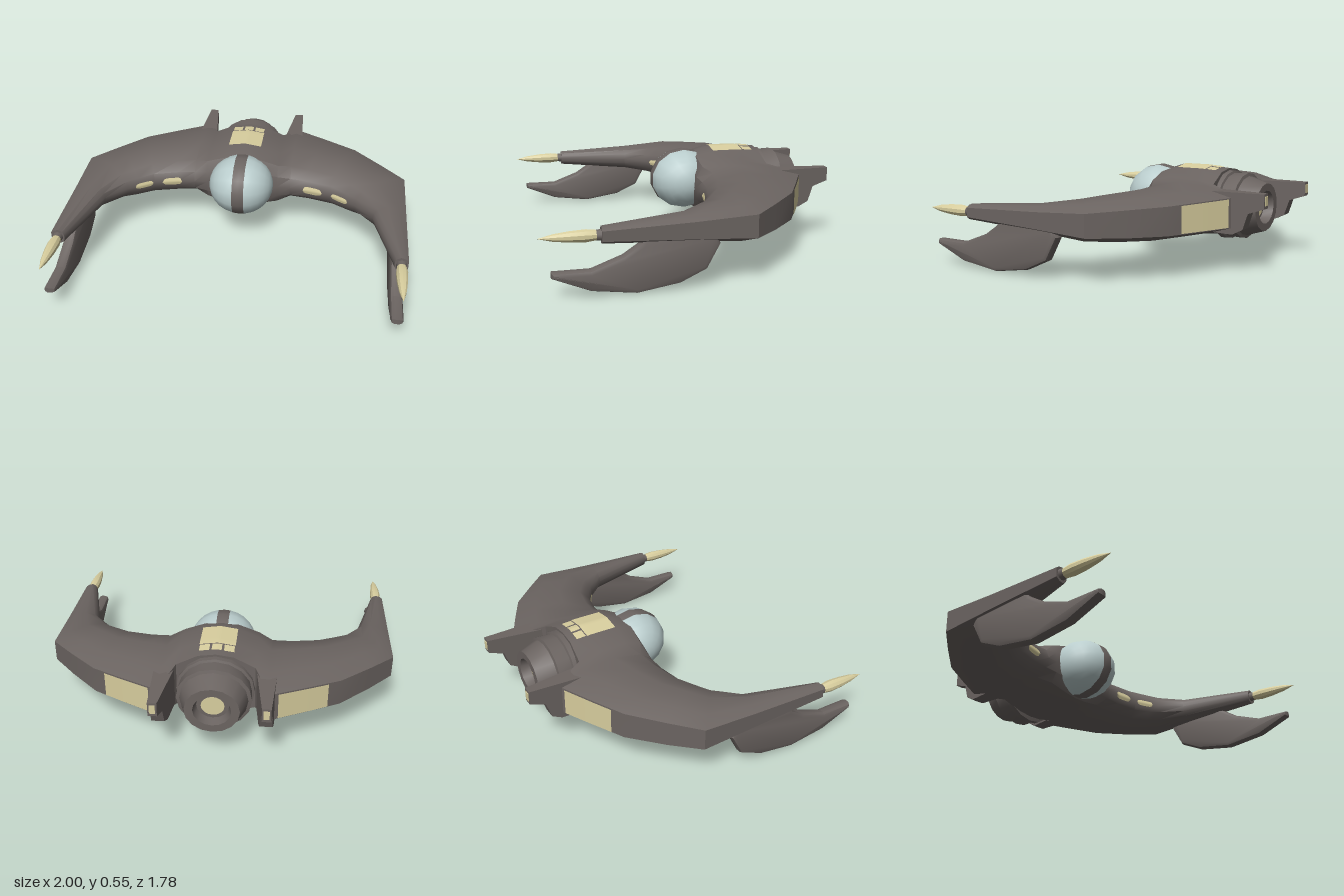
import * as THREE from 'three';
import { toCreasedNormals } from 'three/addons/utils/BufferGeometryUtils.js';

const hullMat = new THREE.MeshStandardMaterial({ name: 'hullGrey', color: 0x6b6461 });
const paleMat = new THREE.MeshStandardMaterial({ name: 'paleYellow', color: 0xd8ce9e });
const glassMat = new THREE.MeshStandardMaterial({ name: 'canopyBlue', color: 0xbacdcd });

// Hull stations from centre to wing tip:
// leading edge x, z | trailing edge x, z | top y, bottom y | boxiness
const STATIONS = [
  [0, -0.10, 0, -0.53, 0.54, 0.14, 1],
  [0.10, -0.10, 0.10, -0.53, 0.525, 0.15, 1],
  [0.22, -0.10, 0.22, -0.54, 0.485, 0.175, 0.7],
  [0.30, -0.10, 0.30, -0.72, 0.47, 0.185, 0],
  [0.40, -0.10, 0.50, -0.62, 0.46, 0.185, 0],
  [0.55, -0.07, 0.69, -0.52, 0.45, 0.185, 0],
  [0.64, -0.02, 0.86, -0.36, 0.435, 0.19, 0],
  [0.70, 0.02, 1.00, -0.22, 0.42, 0.205, 0],
  [0.81, 0.14, 1.00, 0.10, 0.39, 0.235, 0],
  [0.925, 0.575, 1.00, 0.575, 0.36, 0.27, 0],
];
// Upper half of the section, nose to tail, for wing and for centre body
const WING = [[0, 0], [0.03, 0.4], [0.14, 0.75], [0.42, 1], [0.75, 0.88], [1, 0.58]];
const BODY = [[0, 0], [0.01, 0.45], [0.08, 0.85], [0.3, 1], [0.7, 1], [1, 0.95]];
const LAST = STATIONS.length - 1;
const RING = 11;
const lerp = THREE.MathUtils.lerp;

function sectionPoint(k, boxy) {
  k = ((k % RING) + RING) % RING;
  const mirror = k > 5;
  const i = mirror ? RING - k : k;
  return [0, 1].map((c) =>
    lerp(WING[i][c], BODY[i][c], boxy) * (mirror && c === 1 ? -1 : 1));
}

// Point on the hull: s = signed station, k = place round the section
function hullPoint(s, k) {
  const a = Math.min(Math.abs(s), LAST);
  const i = Math.min(Math.floor(a), LAST - 1);
  const [fx, fz, bx, bz, top, bottom, boxy] = STATIONS[i].map((v, c) => lerp(v, STATIONS[i + 1][c], a - i));
  const k0 = Math.floor(k);
  const p = sectionPoint(k0, boxy), q = sectionPoint(k0 + 1, boxy);
  const u = lerp(p[0], q[0], k - k0), v = lerp(p[1], q[1], k - k0);
  return new THREE.Vector3(Math.sign(s) * lerp(fx, bx, u),
    (top + bottom) / 2 + v * (top - bottom) / 2, lerp(fz, bz, u));
}

// Grid surface from a function of column and row
function grid(cols, rows, fn) {
  const pos = [], index = [];
  for (let i = 0; i <= cols; i++)
    for (let j = 0; j <= rows; j++) pos.push(...fn(i, j).toArray());
  for (let i = 0; i < cols; i++)
    for (let j = 0; j < rows; j++) {
      const a = i * (rows + 1) + j, b = a + rows + 1;
      index.push(a, b, b + 1, a, b + 1, a + 1);
    }
  const g = new THREE.BufferGeometry();
  g.setAttribute('position', new THREE.Float32BufferAttribute(pos, 3));
  g.setIndex(index);
  return g;
}

// Painted patch lying just above the hull surface
function patch(s0, s1, k0, k1, oval = false) {
  const e = 0.01, n = 12;
  const g = grid(n, 6, (i, j) => {
    const s = lerp(s0, s1, i / n), t = (i / n) * 2 - 1;
    const h = oval ? Math.sqrt(1 - t ** 4) : 1;
    const k = (k0 + k1) / 2 + (j / 6 - 0.5) * (k1 - k0) * h;
    const ds = hullPoint(s + e, k).sub(hullPoint(s - e, k));
    const dk = hullPoint(s, k + e).sub(hullPoint(s, k - e));
    return hullPoint(s, k).addScaledVector(ds.cross(dk).normalize(), 0.005);
  });
  g.computeVertexNormals();
  return g;
}

// Side outline given as [z, y], extruded across x about x = 0
function sidePlate(points, width, bevel) {
  const shape = new THREE.Shape(points.map((p) => new THREE.Vector2(...p)));
  const depth = width - 2 * bevel;
  return new THREE.ExtrudeGeometry(shape, {
    depth, bevelEnabled: bevel > 0, bevelThickness: bevel, bevelSize: bevel,
    bevelOffset: -bevel, bevelSegments: 2,
  }).translate(0, 0, -depth / 2).rotateY(-Math.PI / 2);
}

function lathe(points, sides, crease = 0.6) {
  const g = new THREE.LatheGeometry(points.map((p) => new THREE.Vector2(...p)), sides);
  return toCreasedNormals(g, crease);
}

export function createModel() {
  const model = new THREE.Group();
  model.name = 'crescentFighter';
  const add = (name, geometry, material, parent = model) => {
    const mesh = new THREE.Mesh(geometry, material);
    mesh.name = name;
    parent.add(mesh);
    return mesh;
  };

  // Crescent hull with closed tips
  const hull = grid(LAST * 2, RING, (i, j) => hullPoint(i - LAST, j));
  const index = Array.from(hull.index.array), end = LAST * 2 * (RING + 1);
  for (let j = 1; j < RING - 1; j++) {
    index.push(0, j, j + 1);
    index.push(end, end + j + 1, end + j);
  }
  // both caps face outward along x
  for (let t = index.length - (RING - 2) * 6; t < index.length; t += 3) {
    const first = index[t] === 0;
    const p = [0, 1, 2].map((c) => new THREE.Vector3().fromBufferAttribute(hull.attributes.position, index[t + c]));
    const nz = p[1].sub(p[0]).cross(p[2].sub(p[0])).z;
    if (first ? nz < 0 : nz < 0) [index[t + 1], index[t + 2]] = [index[t + 2], index[t + 1]];
  }
  hull.setIndex(index);
  add('hull', toCreasedNormals(hull, 0.65), hullMat);

  // Canopy ball with its poles to the sides and a dark middle band
  const band = 0.18, half = Math.PI / 2;
  const ball = (start, length, rows) => new THREE.SphereGeometry(1, 14, rows, 0, Math.PI * 2, start, length)
    .rotateZ(-half).scale(0.197, 0.182, 0.2).translate(0, 0.35, -0.075);
  add('canopyLeft', ball(0, half - band, 6), glassMat);
  add('canopyRight', ball(half + band, half - band, 6), glassMat);
  add('canopyBand', ball(half - band, 2 * band, 2), hullMat);

  // Painted panel on the spine
  add('spinePanel', patch(-1, 1, 3.07, 4.18), paleMat);
  [[-0.97, -0.4], [-0.27, 0.27], [0.4, 0.97]].forEach(([a, b]) =>
    add('spineMark', patch(a, b, 4.23, 4.67), paleMat));

  // Engine: flange, drum, tapered nozzle and recessed throat
  const engine = new THREE.Group();
  engine.name = 'engine';
  engine.position.set(0, 0.32, 0);
  engine.scale.y = 0.9;
  model.add(engine);
  add('engineBody', lathe([[0, 0.5], [0.22, 0.525], [0.22, 0.56], [0.205, 0.565], [0.21, 0.65],
    [0.19, 0.655], [0.152, 0.765], [0.105, 0.765], [0.09, 0.71], [0, 0.71]], 16).rotateX(-half), hullMat, engine);
  add('engineGlow', new THREE.CircleGeometry(0.065, 16).rotateY(Math.PI).translate(0, 0, -0.716), paleMat, engine);

  for (const side of [1, -1]) {
    const group = new THREE.Group();
    group.name = side > 0 ? 'leftWingParts' : 'rightWingParts';
    model.add(group);
    const hullPatch = (name, s0, s1, k0, k1, oval) =>
      add(name, side > 0 ? patch(s0, s1, k0, k1, oval) : patch(-s1, -s0, k0, k1, oval), paleMat, group);

    // Painted marks on leading and trailing edges
    hullPatch('innerNoseMark', 3.8, 4.67, -0.42, 0.42, true);
    hullPatch('outerNoseMark', 5.08, 6.3, -0.35, 0.35, true);
    hullPatch('rearPanel', 3.25, 4.63, 5.03, 5.97, false);

    // Wing-tip cannon
    add('cannonCollar', new THREE.CylinderGeometry(0.024, 0.032, 0.06, 10).rotateX(half)
      .translate(side * 0.963, 0.315, 0.59), hullMat, group);
    add('cannonSpike', lathe([[0, 0.595], [0.026, 0.595], [0.033, 0.65], [0.029, 0.73], [0.019, 0.81], [0, 0.885]], 10)
      .rotateX(half).translate(side * 0.963, 0.315, 0), paleMat, group);

    // Curved claw below the tip
    add('claw', toCreasedNormals(sidePlate([[0.825, 0.14], [0.825, 0.11], [0.63, 0.03], [0.4, 0], [0.18, 0.035],
      [0.04, 0.1], [-0.03, 0.23], [0.0, 0.28], [0.36, 0.3], [0.38, 0.26], [0.47, 0.2], [0.63, 0.14]], 0.07, 0.022), 0.5)
      .translate(side * 0.953, 0, 0), hullMat, group);

    // Rear fin, tapering toward its end
    const fin = sidePlate([[-0.45, 0.44], [-0.89, 0.44], [-0.89, 0.36], [-0.8, 0.33], [-0.77, 0.24],
      [-0.71, 0.21], [-0.45, 0.22]], 1, 0);
    const p = fin.attributes.position;
    for (let i = 0; i < p.count; i++) {
      const t = (-p.getZ(i) - 0.53) / 0.36;
      const inner = lerp(0.225, 0.272, t), outer = lerp(0.342, 0.322, t);
      p.setX(i, side * (inner + outer) / 2 + p.getX(i) * (outer - inner));
    }
    fin.computeVertexNormals();
    add('rearFin', fin, hullMat, group);
    add('finLight', new THREE.BoxGeometry(0.032, 0.05, 0.008).translate(side * 0.297, 0.402, -0.89), paleMat, group);
  }
  return model;
}
